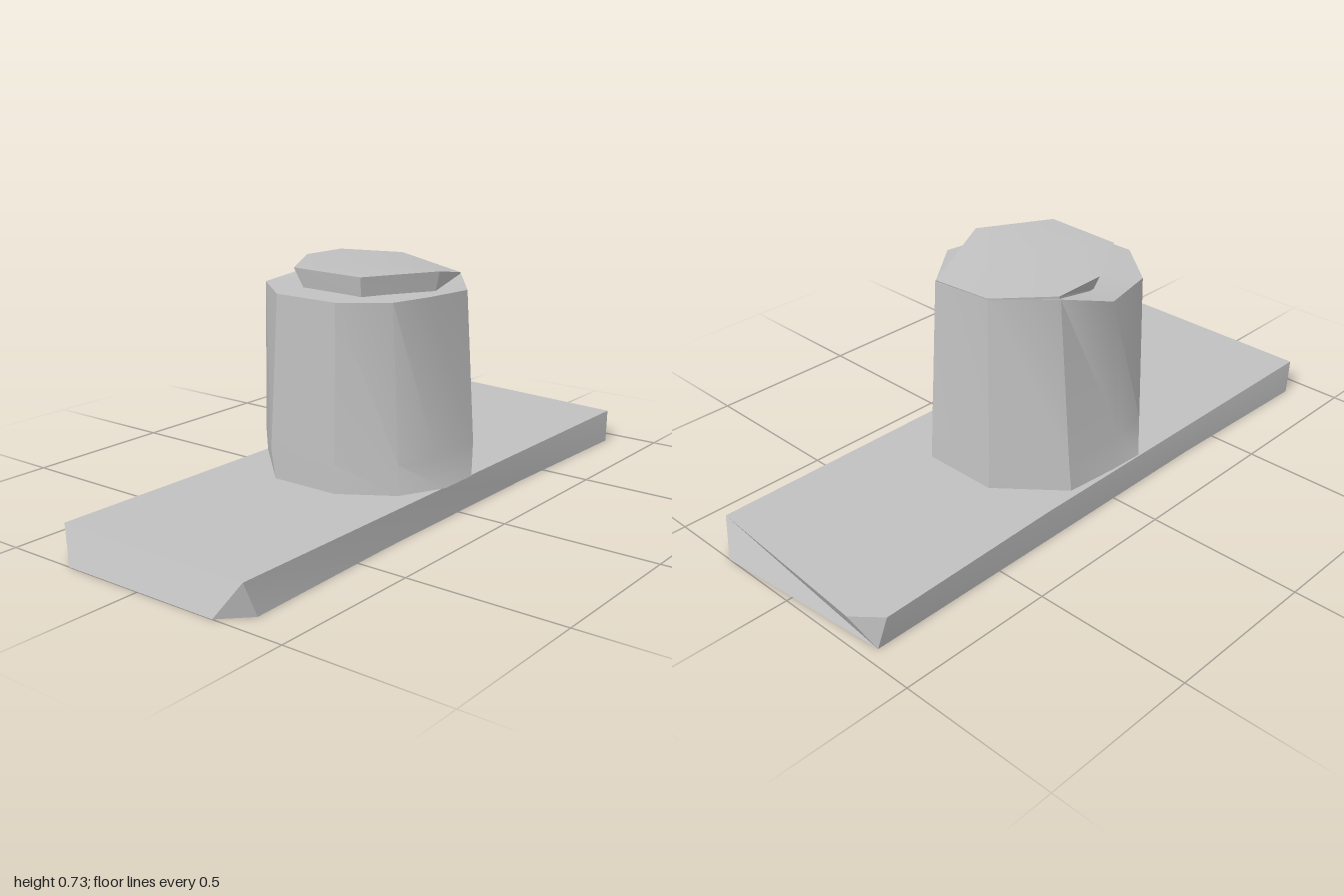
import * as THREE from 'three';
import { toCreasedNormals } from 'three/addons/utils/BufferGeometryUtils.js';

const grey = new THREE.MeshStandardMaterial({ color: 0xc0c0c0 });
grey.name = 'plainGrey';

// Closed solid through matching rings of [x, z, y?], with a fan at each end.
// Rings run from +x round to +z; y defaults to the height of the ring.
function loft(name, rings, crease) {
  const pos = [];
  const loops = rings.map(([height, points]) =>
    points.map(([x, z, y = height]) => new THREE.Vector3(x, y, z)));
  const tri = (a, b, c) => {
    if (a.equals(b) || b.equals(c) || c.equals(a)) return;
    for (const p of [a, b, c]) pos.push(p.x, p.y, p.z);
  };
  const n = loops[0].length;
  const first = loops[0];
  const last = loops[loops.length - 1];
  const low = new THREE.Vector3(0, rings[0][0], 0);
  const high = new THREE.Vector3(0, rings[rings.length - 1][0], 0);
  for (let i = 0; i < n; i++) {
    const j = (i + 1) % n;
    for (let k = 0; k < loops.length - 1; k++) {
      const a = loops[k], b = loops[k + 1];
      tri(a[i], b[i], b[j]);
      tri(a[i], b[j], a[j]);
    }
    tri(low, first[i], first[j]);
    tri(high, last[j], last[i]);
  }
  const geometry = new THREE.BufferGeometry();
  geometry.setAttribute('position', new THREE.Float32BufferAttribute(pos, 3));
  const mesh = new THREE.Mesh(toCreasedNormals(geometry, crease), grey);
  mesh.name = name;
  return mesh;
}

export function createModel() {
  const model = new THREE.Group();
  model.name = 'studOnPlate';

  // Long plate with clipped corners and a slight waist
  model.add(loft('basePlate', [
    [0, [[0.27, -1], [0.35, -0.92], [0.335, -0.37], [0.335, 0.37], [0.35, 0.92], [0.27, 1],
      [-0.27, 1], [-0.35, 0.92], [-0.335, 0.37], [-0.335, -0.37], [-0.335, -0.955], [-0.335, -0.955]]],
    [0.1, [[0.335, -0.955], [0.335, -0.955], [0.335, -0.3], [0.335, 0.1], [0.335, 0.955], [0.335, 0.955],
      [-0.335, 0.955], [-0.335, 0.955], [-0.335, 0.1], [-0.335, -0.3], [-0.35, -0.93], [-0.27, -1]]],
  ], 0.35));

  // Uneven post with a flared foot and a rim raised at the back
  model.add(loft('post', [
    [0.1, [[0.34, -0.06], [0.34, 0.08], [0.27, 0.22], [0.11, 0.32], [-0.12, 0.32],
      [-0.33, 0.12], [-0.325, 0], [-0.31, -0.17], [-0.12, -0.33], [0.13, -0.33]]],
    [0.19, [[0.305, -0.12], [0.305, 0.08], [0.26, 0.21], [0.11, 0.32], [-0.135, 0.32],
      [-0.28, 0.18], [-0.3, 0.06], [-0.3, -0.17], [-0.12, -0.325], [0.13, -0.325]]],
    [0.68, [[0.3, -0.08, 0.67], [0.275, 0.08, 0.67], [0.24, 0.21, 0.67], [0.11, 0.31, 0.67],
      [-0.11, 0.31, 0.67], [-0.27, 0.18, 0.67], [-0.31, 0, 0.67], [-0.26, -0.17, 0.72],
      [-0.1, -0.3, 0.712], [0.15, -0.27, 0.675]]],
  ], 0.6));

  // Crooked cap that slopes down into the back of the rim
  model.add(loft('cap', [
    [0.67, [[0.24, 0], [0.125, 0.21], [-0.1, 0.2], [-0.215, 0.02],
      [-0.25, -0.165], [-0.1, -0.29], [0.15, -0.26]]],
    [0.732, [[0.254, 0], [0.13, 0.22], [-0.13, 0.21], [-0.255, 0],
      [-0.255, -0.17, 0.728], [-0.1, -0.3, 0.715], [0.15, -0.268, 0.68]]],
  ], 0.4));

  return model;
}
